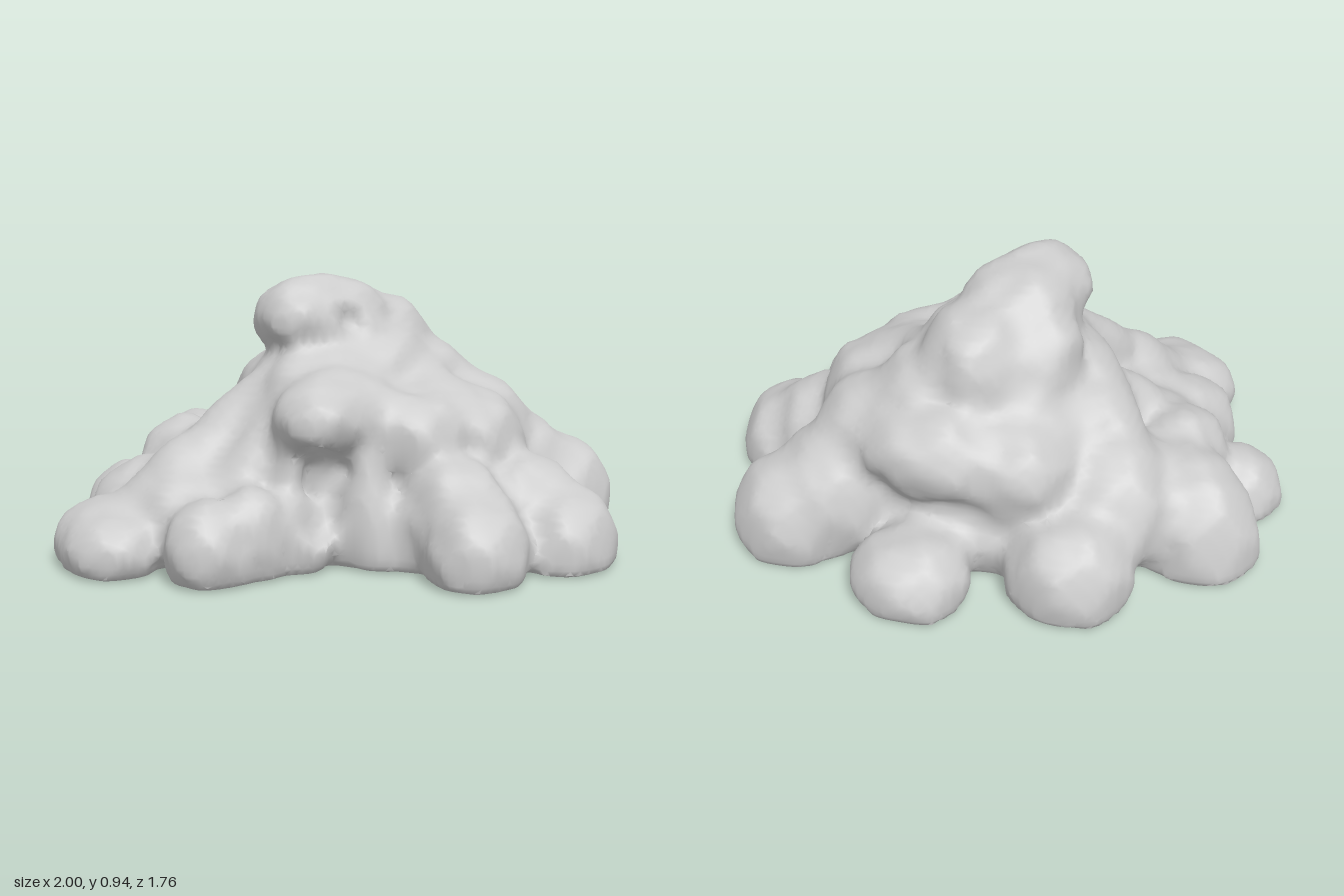
import * as THREE from 'three';
import { toCreasedNormals } from 'three/addons/utils/BufferGeometryUtils.js';

// Boulders: centre x, y, z, then radii x, y, z
const FOOT = [
  [0.15, 0.07, -0.69, 0.21, 0.17, 0.195], [-0.36, 0.09, -0.57, 0.22, 0.23, 0.2],
  [-0.74, 0.05, -0.25, 0.22, 0.29, 0.2], [-0.68, 0.2, -0.18, 0.17, 0.18, 0.17],
  [-0.84, 0.02, 0.08, 0.16, 0.19, 0.17],
  [-0.62, 0.2, 0.03, 0.17, 0.2, 0.17], [-0.61, 0.08, 0.34, 0.18, 0.22, 0.2],
  [-0.58, 0.07, 0.63, 0.17, 0.15, 0.16], [-0.48, 0.07, 0.72, 0.17, 0.13, 0.16],
  [-0.33, 0.14, 0.52, 0.18, 0.17, 0.18], [-0.13, 0.1, 0.67, 0.15, 0.17, 0.17],
  [-0.04, 0.12, 0.57, 0.13, 0.19, 0.14], [0.05, 0.1, 0.45, 0.14, 0.16, 0.1],
  [0.63, 0.08, 0.28, 0.18, 0.2, 0.21],
  [0.5, 0.16, 0.2, 0.2, 0.22, 0.18], [0.85, 0.05, -0.04, 0.15, 0.21, 0.22],
  [0.68, 0.14, -0.08, 0.18, 0.22, 0.2],
  [0.63, 0.1, -0.53, 0.21, 0.24, 0.2], [0.48, 0.18, -0.43, 0.22, 0.26, 0.22],
];
const BODY = [
  [0.05, 0.1, -0.1, 0.7, 0.36, 0.5], [-0.28, 0.1, 0.25, 0.36, 0.3, 0.38],
  [0, 0.3, -0.12, 0.45, 0.38, 0.43], [-0.05, 0.4, 0.1, 0.28, 0.3, 0.27],
  [0.02, 0.55, -0.13, 0.28, 0.26, 0.33], [-0.42, 0.2, -0.28, 0.27, 0.26, 0.26],
];
const SHELF = [
  [0.14, 0.43, -0.47, 0.24, 0.17, 0.18], [-0.14, 0.39, -0.42, 0.21, 0.18, 0.18],
  [0.38, 0.4, -0.33, 0.2, 0.18, 0.19], [0.48, 0.37, -0.1, 0.17, 0.19, 0.2],
  [0.33, 0.45, -0.05, 0.18, 0.15, 0.2], [0.12, 0.5, 0.34, 0.17, 0.13, 0.19],
  [-0.34, 0.4, -0.15, 0.17, 0.18, 0.2], [-0.25, 0.5, 0, 0.16, 0.17, 0.18],
  [0.2, 0.55, -0.25, 0.18, 0.15, 0.22], [0.31, 0.41, 0.13, 0.19, 0.18, 0.18],
  [0.12, 0.48, 0.2, 0.2, 0.18, 0.18],
];
const SUMMIT = [
  [-0.11, 0.79, 0.09, 0.155, 0.135, 0.16], [-0.05, 0.8, -0.04, 0.19, 0.145, 0.19],
  [0.04, 0.69, -0.21, 0.19, 0.18, 0.22], [-0.12, 0.7, -0.1, 0.18, 0.17, 0.2],
];
// Ridges: two end points with their radii
const RIDGES = [
  [-0.1, 0.6, 0.12, 0.12, -0.5, 0.1, 0.58, 0.13], [-0.22, 0.5, 0, 0.11, -0.66, 0.16, 0.2, 0.1],
  [-0.04, 0.55, 0.25, 0.1, -0.18, 0.15, 0.5, 0.11],
  [0.25, 0.47, 0.3, 0.05, 0.28, 0.05, 0.31, 0.06], [0.04, 0.5, 0.4, 0.05, 0, 0.05, 0.45, 0.07],
];
// Hollows under the overhangs and the notch beside the summit
const HOLLOWS = [
  [0.15, 0.27, 0.45, 0.06, 0.17, 0.12], [0.29, 0.33, -0.63, 0.04, 0.1, 0.06],
  [0.68, 0.32, -0.28, 0.07, 0.13, 0.04], [0.09, 0.8, 0.09, 0.04, 0.05, 0.04],
];

// Evenly spread directions that cut the boulders into broad facets
const FACETS = Array.from({ length: 24 }, (_, i) => {
  const h = 1 - (2 * i + 1) / 24, r = Math.sqrt(1 - h * h), t = i * 2.39996;
  return [r * Math.cos(t), h, r * Math.sin(t)];
});

function boulder(p, [x, y, z, a, b, c]) {
  const u = (p[0] - x) / a, v = (p[1] - y) / b, w = (p[2] - z) / c;
  const round = Math.hypot(u, v, w);
  let cut = 0;
  for (const f of FACETS) cut = Math.max(cut, u * f[0] + v * f[1] + w * f[2]);
  const k = 0.45 * round + 0.55 * 1.06 * cut;
  return round * (k - 1) / Math.max(1e-4, Math.hypot(u / a, v / b, w / c));
}

function ridge(p, [ax, ay, az, ra, bx, by, bz, rb]) {
  const d = [bx - ax, by - ay, bz - az], q = [p[0] - ax, p[1] - ay, p[2] - az];
  const dot = (s, t) => s[0] * t[0] + s[1] * t[1] + s[2] * t[2];
  const t = Math.min(1, Math.max(0, dot(q, d) / dot(d, d)));
  return Math.hypot(...q.map((v, i) => v - d[i] * t)) - (ra + (rb - ra) * t);
}

function smoothMin(a, b, k) {
  const h = Math.max(0, k - Math.abs(a - b)) / k;
  return Math.min(a, b) - h * h * k / 4;
}

// Signed distance to the whole mound, cut flat at the ground
function mound([x, y, z]) {
  // weathering, fading out towards the rim
  const fade = Math.max(0, (1 - x * x) * (1 - z * z));
  const p = [
    x + 0.012 * fade * Math.sin(11 * z + 7 * y),
    y + 0.01 * fade * Math.sin(9 * x - 8 * z),
    z + 0.012 * fade * Math.sin(12 * x + 6 * y + 1),
  ];
  let d = 9;
  for (const e of [...BODY, ...FOOT, ...SHELF, ...SUMMIT]) d = smoothMin(d, boulder(p, e), 0.06);
  for (const r of RIDGES) d = smoothMin(d, ridge(p, r), 0.05);
  // creased lumps
  const lump = Math.abs(Math.sin(9 * x + 4 * y + 2 * Math.sin(5 * z))) + Math.abs(Math.sin(10 * z - 5 * y + 2 * Math.sin(6 * x)));
  d += fade * (0.024 - 0.016 * lump);
  for (const e of HOLLOWS) d = -smoothMin(-d, boulder(p, e), 0.03);
  return Math.max(d, -y);
}

// Turns a distance function into a quad mesh on a regular grid
function surfaceNet(field, min, size, step) {
  const [nx, ny] = size, stride = [1, nx, nx * ny], total = nx * ny * size[2];
  const values = new Float32Array(total).fill(1), cellVertex = new Int32Array(total).fill(-1);
  const positions = [], index = [];
  const each = (from, visit) => {
    for (let k = from; k < size[2] - 1; k++)
      for (let j = from; j < ny - 1; j++)
        for (let i = from; i < nx - 1; i++) visit([i, j, k], i + j * stride[1] + k * stride[2]);
  };
  each(0, (c, id) => { values[id] = field(c.map((v, a) => min[a] + v * step)); });

  // one vertex per crossed cell, at the mean of its edge crossings
  each(0, (c, id) => {
    const sum = [0, 0, 0];
    let n = 0;
    for (let a = 0; a < 3; a++) {
      const b = (a + 1) % 3, e = (a + 2) % 3;
      for (let m = 0; m < 4; m++) {
        const o = [0, 0, 0];
        o[b] = m & 1;
        o[e] = m >> 1;
        const s = id + o[0] + o[1] * stride[1] + o[2] * stride[2];
        const v0 = values[s], v1 = values[s + stride[a]];
        if ((v0 < 0) === (v1 < 0)) continue;
        o[a] = v0 / (v0 - v1);
        for (let i = 0; i < 3; i++) sum[i] += o[i];
        n++;
      }
    }
    if (!n) return;
    cellVertex[id] = positions.length / 3;
    positions.push(...sum.map((v, a) => min[a] + (c[a] + v / n) * step));
  });

  // one quad per crossed edge
  each(1, (c, id) => {
    for (let a = 0; a < 3; a++) {
      const inside = values[id] < 0;
      if (inside === (values[id + stride[a]] < 0)) continue;
      const sb = stride[(a + 1) % 3], se = stride[(a + 2) % 3];
      const q = [id - sb - se, id - se, id, id - sb].map((i) => cellVertex[i]);
      if (!inside) q.reverse();
      index.push(q[0], q[1], q[2], q[0], q[2], q[3]);
    }
  });
  const geometry = new THREE.BufferGeometry();
  geometry.setAttribute('position', new THREE.Float32BufferAttribute(positions, 3));
  geometry.setIndex(index);
  return geometry;
}

export function createModel() {
  const group = new THREE.Group();
  group.name = 'rockFormation';
  const stone = new THREE.MeshStandardMaterial({ color: 0xcccccc });
  stone.name = 'paleStone';

  const net = surfaceNet(mound, [-1.12, -0.06, -1.0], [90, 44, 80], 0.025);
  const rock = new THREE.Mesh(toCreasedNormals(net, 0.9), stone);
  rock.name = 'rockMound';
  group.add(rock);
  return group;
}
